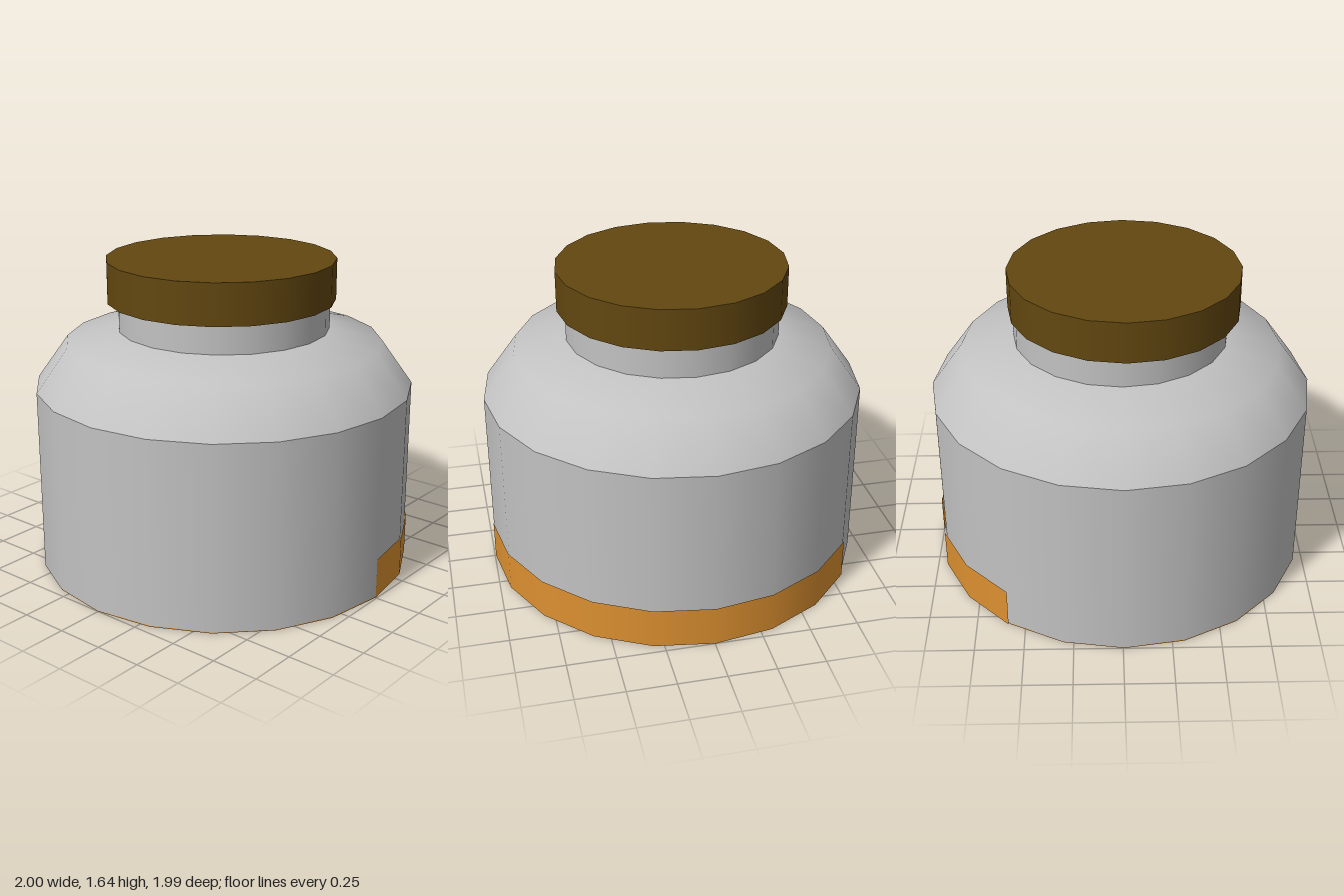
import * as THREE from 'three';

const SIDES = 20;

export function createModel() {
  const jar = new THREE.Group();
  jar.name = 'jar';

  const paint = (name, color, double) => {
    const m = new THREE.MeshStandardMaterial({ color });
    m.name = name;
    if (double) m.side = THREE.DoubleSide;
    return m;
  };
  const grey = paint('light grey', 0xc2c2c2);
  const brown = paint('dark brown', 0x624710);
  const orange = paint('orange', 0xdc9030, true);

  const add = (name, geometry, material, x, y, z) => {
    const mesh = new THREE.Mesh(geometry, material);
    mesh.name = name;
    mesh.position.set(x, y, z);
    jar.add(mesh);
  };

  // Turned surface from [radius, height] pairs, listed bottom to top
  const turned = (points, segments = SIDES, angle = Math.PI * 2) =>
    new THREE.LatheGeometry(points.map(([r, y]) => new THREE.Vector2(r, y)), segments, 0, angle);

  // Body: straight wall, rounded shoulder and neck, with hard edges between
  const bodyX = -0.005, bodyZ = -0.003;
  add('wall', turned([[0.995, 0.004], [0.995, 0.975]]), grey, bodyX, 0, bodyZ);
  add('shoulder', turned([[0.995, 0.975], [0.83, 1.205], [0.555, 1.27]]), grey, bodyX, 0, bodyZ);
  add('neck', turned([[0.555, 1.27], [0.555, 1.43]]), grey, bodyX, 0, bodyZ);

  // Lid, sitting slightly off centre
  add('lid', new THREE.CylinderGeometry(0.597, 0.597, 0.215, SIDES), brown, -0.024, 1.5325, -0.005);

  // Base plate and the band wrapping eight of the twenty sides
  add('base', new THREE.CylinderGeometry(0.995, 0.995, 0.006, SIDES), orange, bodyX, 0.003, bodyZ);
  add('band', turned([[0.998, 0], [0.998, 0.215]], 8, Math.PI * 0.8), orange, 0.002, 0, bodyZ);

  return jar;
}
